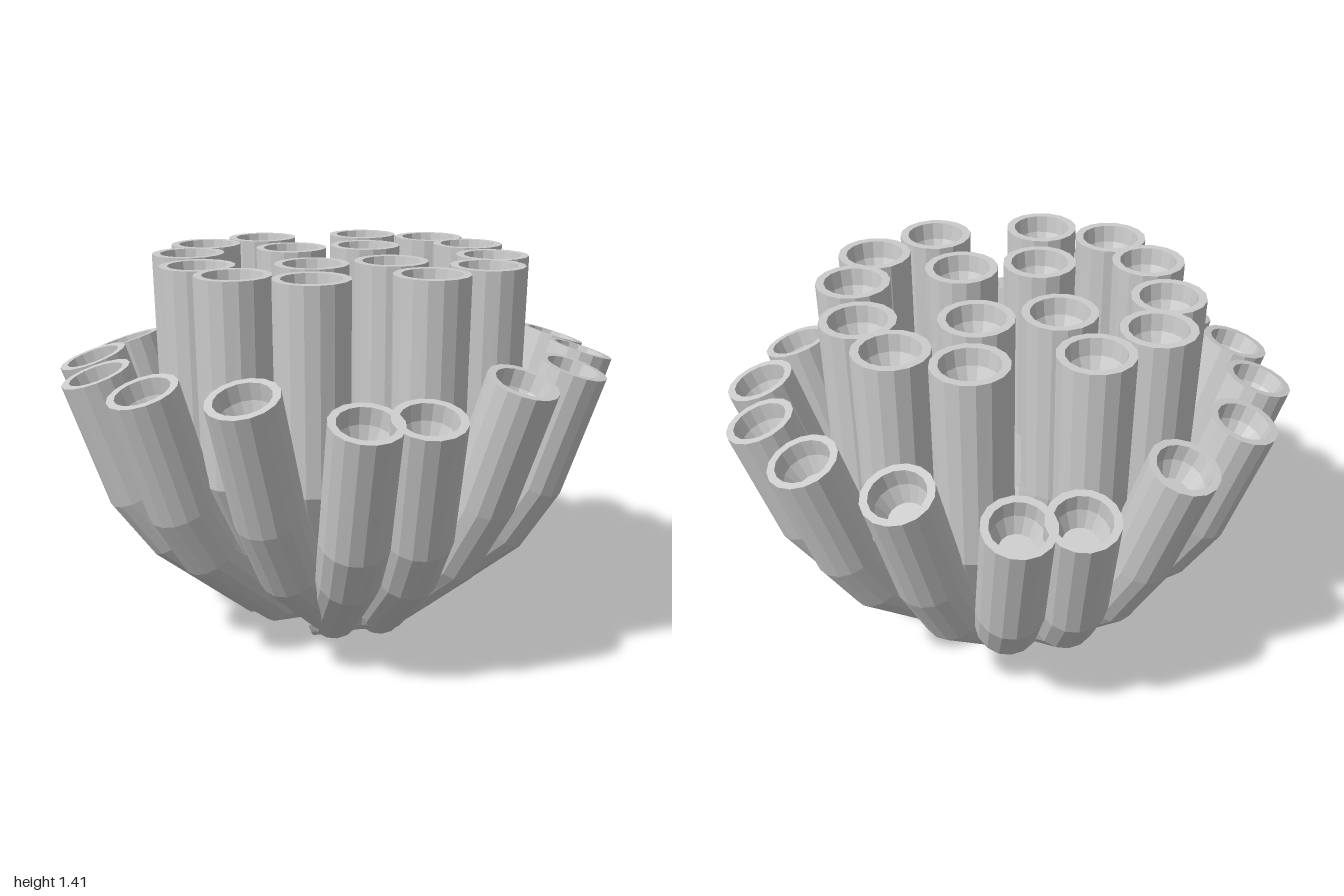
import * as THREE from 'three';

const SIDES = 16;
const UP = new THREE.Vector3(0, 1, 0);
const material = new THREE.MeshStandardMaterial({ color: 0xcccccc, flatShading: true, side: THREE.DoubleSide });

// Bent tapering tube, from its root to a rim with a tapered cup sunk into the end
function tubeGeometry(points, radii) {
  const rings = [];
  const cup = [];
  const last = points.length - 1;
  const q = new THREE.Quaternion();
  let previous = UP;
  const dir = (a, b) => points[b].clone().sub(points[a]).normalize();

  const makeRing = (centre, radius) => {
    const ring = [];
    for (let i = 0; i < SIDES; i++) {
      const a = (i / SIDES) * Math.PI * 2;
      ring.push(new THREE.Vector3(Math.sin(a) * radius, 0, Math.cos(a) * radius).applyQuaternion(q).add(centre));
    }
    return ring;
  };

  // Carry one frame from the rim down to the root so the sides do not twist
  for (let k = last; k >= 0; k--) {
    const t = new THREE.Vector3();
    if (k < last) t.add(dir(k, k + 1));
    if (k > 0) t.add(dir(k - 1, k));
    t.normalize();
    q.premultiply(new THREE.Quaternion().setFromUnitVectors(previous, t));
    previous = t;
    if (k === last) {
      for (const [scale, depth] of [[0.78, 0], [0.72, 0.06], [0.49, 0.12], [0, 0.12]]) {
        cup.push(makeRing(points[k].clone().addScaledVector(t, -depth), radii[k] * scale));
      }
    }
    rings.unshift(makeRing(points[k], radii[k]));
  }
  rings.unshift(rings[0].map(() => points[0].clone())); // closed root
  rings.push(...cup);

  const position = [];
  const index = [];
  rings.forEach((ring) => ring.forEach((v) => position.push(v.x, v.y, v.z)));
  for (let r = 0; r < rings.length - 1; r++) {
    for (let i = 0; i < SIDES; i++) {
      const a = r * SIDES + i;
      const b = r * SIDES + ((i + 1) % SIDES);
      if (r > 0) index.push(a, b, b + SIDES);
      if (r < rings.length - 2) index.push(a, b + SIDES, a + SIDES);
    }
  }
  const g = new THREE.BufferGeometry();
  g.setAttribute('position', new THREE.Float32BufferAttribute(position, 3));
  g.setIndex(index);
  g.computeVertexNormals();
  return g;
}

// Repeat a tube in all four quarters
function addQuarters(group, name, path, radii) {
  for (const sx of [1, -1]) {
    for (const sz of [1, -1]) {
      const points = path.map(([x, y, z]) => new THREE.Vector3(x * sx, y, z * sz));
      const mesh = new THREE.Mesh(tubeGeometry(points, radii), material);
      mesh.name = name;
      group.add(mesh);
    }
  }
}

export function createModel() {
  const model = new THREE.Group();
  model.name = 'tubeCluster';

  // Outer tubes, leaning outwards; points run from root to rim
  const outer = new THREE.Group();
  outer.name = 'outerTubes';
  const outerRadii = [0.082, 0.098, 0.115, 0.121, 0.123];
  const outerPaths = {
    frontBackTube: [[0.06, 0.09, -0.01], [0.085, 0.16, 0.285], [0.1, 0.435, 0.585], [0.105, 0.6, 0.69], [0.1, 1.03, 0.815]],
    crossingTube: [[-0.16, 0.13, 0.22], [0.11, 0.2, 0.31], [0.28, 0.43, 0.48], [0.362, 0.66, 0.565], [0.458, 1.09, 0.67]],
    diagonalTube: [[0.03, 0.13, 0.04], [0.27, 0.19, 0.16], [0.53, 0.455, 0.295], [0.625, 0.64, 0.345], [0.745, 1.06, 0.4]],
    sideTube: [[0.02, 0.13, 0.06], [0.33, 0.2, 0.095], [0.63, 0.465, 0.12], [0.748, 0.64, 0.13], [0.883, 1.06, 0.135]],
  };
  for (const [name, path] of Object.entries(outerPaths)) addQuarters(outer, name, path, outerRadii);
  model.add(outer);

  // Inner tubes, upright at the top and drawn together at the root
  const inner = new THREE.Group();
  inner.name = 'innerTubes';
  for (const [x, z] of [[0.14, 0.19], [0.2, 0.48], [0.435, 0.353], [0.525, 0.14]]) {
    const path = [[0, 0.13], [0.38, 0.23], [0.8, 0.5], [0.99, 0.74], [1, 1.42]].map(([s, y]) => [x * s, y, z * s]);
    addQuarters(inner, 'innerTube', path, [0.08, 0.095, 0.115, 0.127, 0.13]);
  }
  model.add(inner);
  return model;
}
